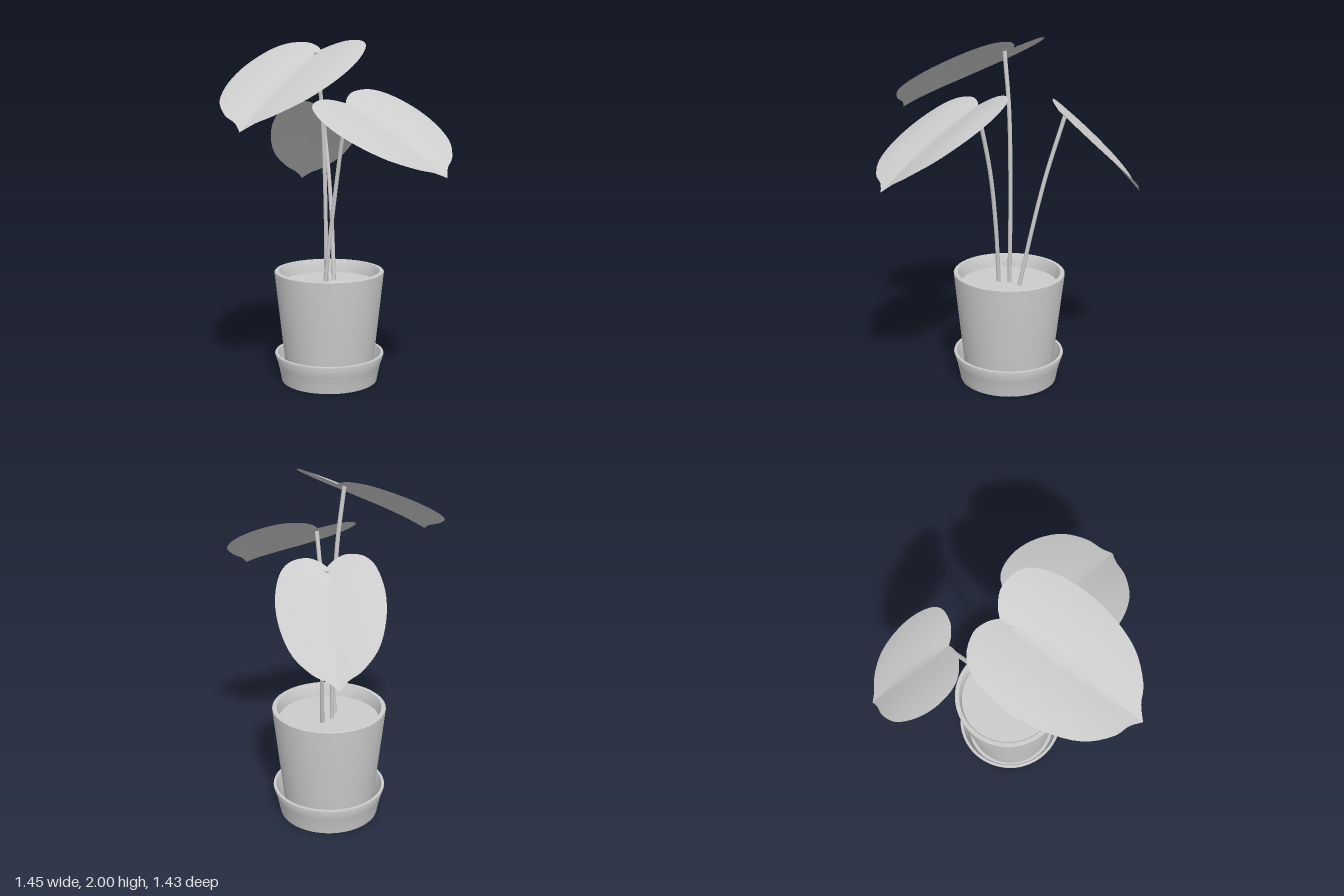
import * as THREE from 'three';
import { toCreasedNormals } from 'three/addons/utils/BufferGeometryUtils.js';

const V = (x, y, z) => new THREE.Vector3(x, y, z);
const grey = new THREE.MeshStandardMaterial({ color: 0xcccccc });
const leafGrey = new THREE.MeshStandardMaterial({ color: 0xcccccc, side: THREE.DoubleSide });

function mesh(name, geometry, material = grey) {
  const m = new THREE.Mesh(geometry, material);
  m.name = name;
  return m;
}

// Turned part from [radius, height] pairs, with crisp rims
function turned(name, profile) {
  const points = profile.map(([r, y]) => new THREE.Vector2(r, y));
  return mesh(name, toCreasedNormals(new THREE.LatheGeometry(points, 48), 0.6));
}

// Half outline of a heart-shaped leaf: [width, position from notch to tip]
const outline = new THREE.SplineCurve([
  [0, 0], [0.14, -0.05], [0.38, -0.085], [0.7, -0.05], [0.9, 0.06], [1, 0.27],
  [0.95, 0.5], [0.76, 0.72], [0.44, 0.87], [0.18, 0.93], [0, 1],
].map(([w, t]) => new THREE.Vector2(w, t)));

// Leaf spanning notch to tip; slopeX and slopeZ give the tilt of its plane
function leaf(name, notch, tip, halfWidth, slopeX, slopeZ) {
  const rows = 40, cols = 8, positions = [], index = [];
  const length = notch.distanceTo(tip);
  for (let i = 0; i <= rows; i++) {
    const u = i / rows;
    const edge = outline.getPoint(u);
    const rib = Math.pow(u, 1.4);
    for (let j = -cols; j <= cols; j++) {
      const v = Math.abs(j) / cols;
      const w = edge.x * v;
      const t = THREE.MathUtils.lerp(rib, edge.y, v);
      // shallow valley along the midrib, gentle bow along the length
      const lift = 0.075 * halfWidth * Math.sin(2.3 * w) + 0.09 * length * t * (1 - t);
      positions.push(Math.sign(j) * w * halfWidth, lift, t * length);
    }
  }
  const stride = 2 * cols + 1;
  for (let i = 0; i < rows; i++) {
    for (let j = 0; j < stride - 1; j++) {
      const a = i * stride + j, b = a + stride;
      index.push(a, b, a + 1, b, b + 1, a + 1);
    }
  }
  const geometry = new THREE.BufferGeometry();
  geometry.setAttribute('position', new THREE.Float32BufferAttribute(positions, 3));
  geometry.setIndex(index);
  const along = tip.clone().sub(notch).normalize();
  const across = V(-slopeX, 1, -slopeZ).cross(along).normalize();
  const up = along.clone().cross(across);
  geometry.applyMatrix4(new THREE.Matrix4().makeBasis(across, up, along).setPosition(notch));
  geometry.computeVertexNormals();
  return mesh(name, geometry, leafGrey);
}

function stem(name, points) {
  return mesh(name, new THREE.TubeGeometry(new THREE.CatmullRomCurve3(points), 20, 0.012, 10));
}

export function createModel() {
  const group = new THREE.Group();
  group.name = 'pottedPlant';

  // Pot, saucer and soil share one axis
  const planter = new THREE.Group();
  planter.name = 'planter';
  planter.position.set(-0.13, 0, -0.125);
  planter.add(
    turned('saucer', [[0, 0], [0.285, 0], [0.292, 0.04], [0.305, 0.1], [0.325, 0.163], [0.323, 0.17],
      [0.308, 0.17], [0.29, 0.11], [0.275, 0.025], [0, 0.025]]),
    turned('pot', [[0, 0.025], [0.255, 0.025], [0.323, 0.653], [0.323, 0.662], [0.319, 0.666],
      [0.298, 0.666], [0.294, 0.66], [0.282, 0.56]]),
    turned('soil', [[0.287, 0.59], [0, 0.592]]),
  );
  group.add(planter);

  // Stems
  group.add(
    stem('frontStem', [V(-0.145, 0.58, -0.117), V(-0.15, 1.1, -0.115), V(-0.158, 1.6, -0.095), V(-0.17, 1.935, -0.05)]),
    stem('leftStem', [V(-0.12, 0.58, -0.058), V(-0.08, 0.93, -0.065), V(-0.03, 1.27, -0.06), V(0.045, 1.64, -0.03)]),
    stem('backStem', [V(-0.138, 0.58, -0.192), V(-0.185, 0.93, -0.245), V(-0.24, 1.24, -0.295), V(-0.322, 1.58, -0.36)]),
  );

  // Leaves
  group.add(
    leaf('frontLeaf', V(-0.175, 1.95, -0.11), V(-0.152, 1.535, 0.7), 0.362, 0.02, -0.51),
    leaf('leftLeaf', V(0.04, 1.655, -0.03), V(0.715, 1.29, 0.07), 0.33, -0.5, -0.27),
    leaf('backLeaf', V(-0.31, 1.59, -0.345), V(-0.67, 1.12, -0.66), 0.275, 0.63, 0.77),
  );
  return group;
}
